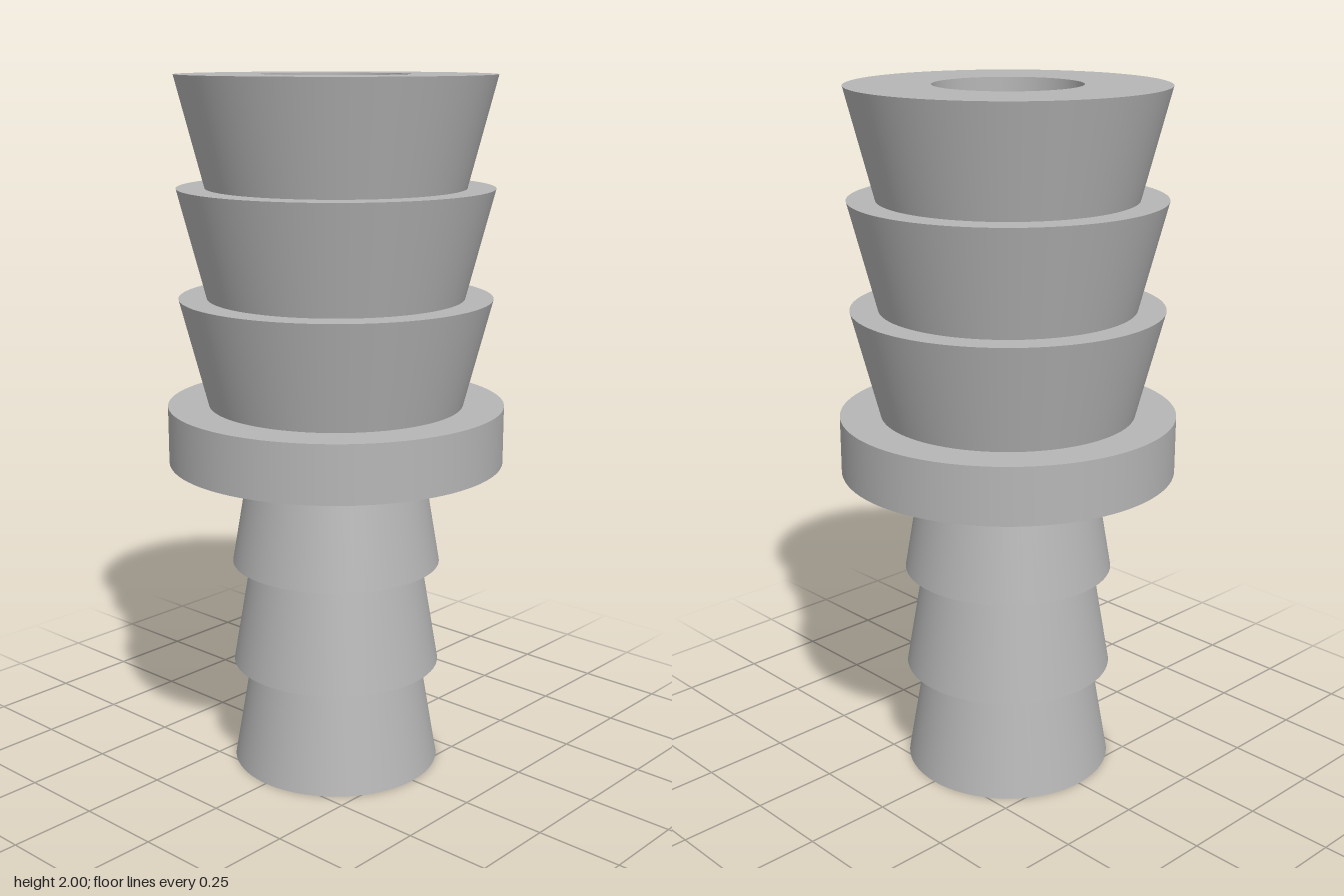
import * as THREE from 'three';
import { mergeGeometries } from 'three/addons/utils/BufferGeometryUtils.js';

const SEGMENTS = 96;
const BORE = 0.205;                                  // through-hole radius
const LOWER = { root: 0.25, tip: 0.302, from: 0, to: 0.92 };
const UPPER = { root: 0.363, tip: 0.442, from: 1.085, to: 2 };
const FLANGE_RADIUS = 0.479;
const BARBS = 3;

// Revolve each profile edge on its own, so corners stay sharp and sides smooth.
function revolve(profile) {
  const bands = [];
  for (let i = 0; i < profile.length - 1; i++) {
    const edge = [profile[i], profile[i + 1]].map(([r, y]) => new THREE.Vector2(r, y));
    bands.push(new THREE.LatheGeometry(edge, SEGMENTS));
  }
  return mergeGeometries(bands);
}

export function createModel() {
  const model = new THREE.Group();
  model.name = 'barbedHoseConnector';
  const grey = new THREE.MeshStandardMaterial({ color: 0xb6b6b6 });
  grey.name = 'grey';

  const add = (name, profile) => {
    const mesh = new THREE.Mesh(revolve(profile), grey);
    mesh.name = name;
    model.add(mesh);
  };

  const lowerStep = (LOWER.to - LOWER.from) / BARBS;
  const upperStep = (UPPER.to - UPPER.from) / BARBS;
  for (let i = 0; i < BARBS; i++) {
    // Narrow barbs: ledge below, tapering in upwards
    const y = LOWER.from + i * lowerStep;
    add(`lowerBarb${i + 1}`, [
      [i === 0 ? BORE : LOWER.root, y], [LOWER.tip, y], [LOWER.root, y + lowerStep],
    ]);
    // Wide barbs: flaring out upwards, ledge on top
    const top = UPPER.from + (i + 1) * upperStep;
    add(`upperBarb${i + 1}`, [
      [UPPER.root, top - upperStep], [UPPER.tip, top], [i === BARBS - 1 ? BORE : UPPER.root, top],
    ]);
  }

  // Stop flange between the two hose ends
  add('flange', [
    [LOWER.root, LOWER.to], [FLANGE_RADIUS, LOWER.to],
    [FLANGE_RADIUS, UPPER.from], [UPPER.root, UPPER.from],
  ]);

  // Inner wall, running downwards so it faces the axis
  add('bore', [[BORE, UPPER.to], [BORE, LOWER.from]]);

  return model;
}
